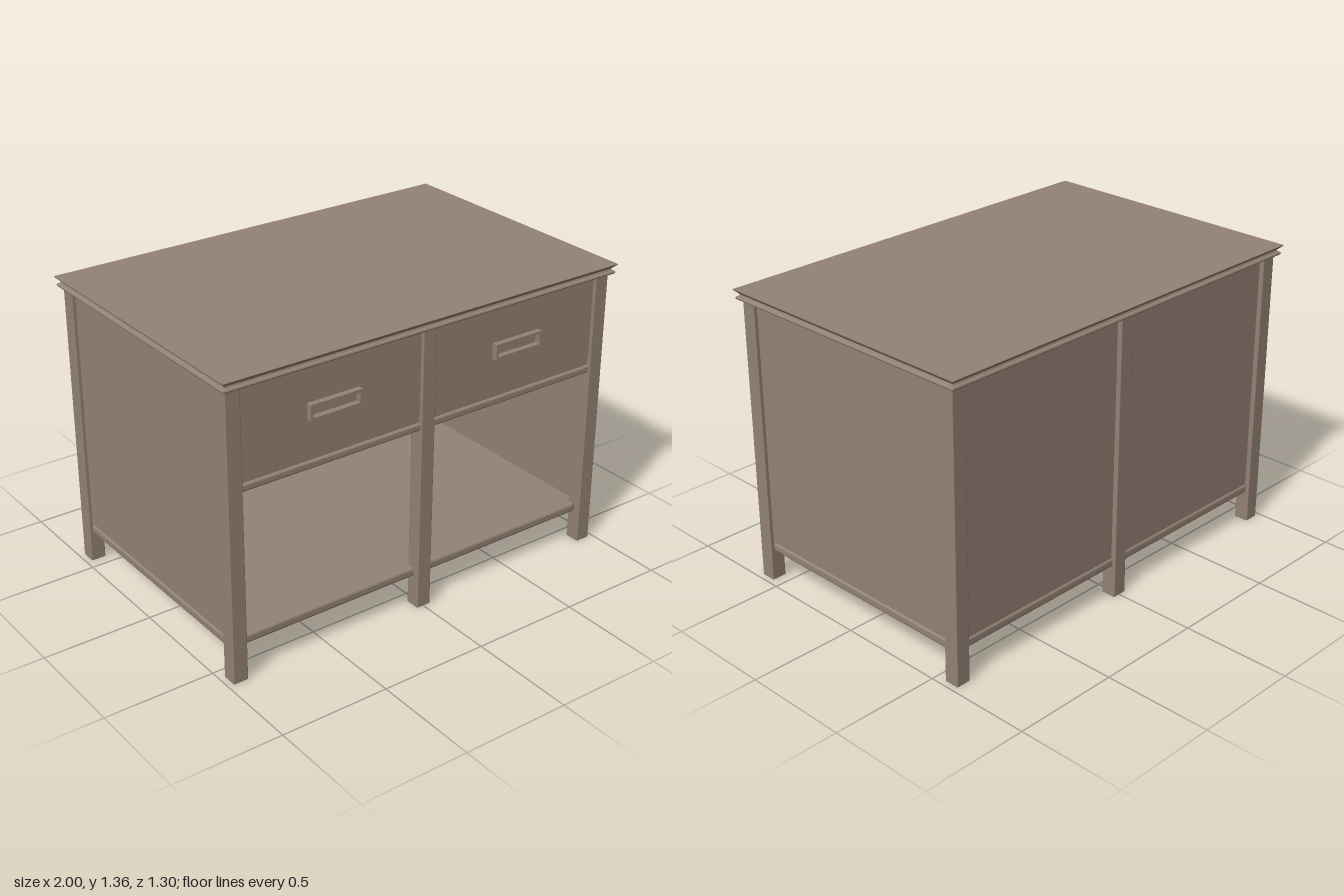
import * as THREE from 'three';
import { RoundedBoxGeometry } from 'three/addons/geometries/RoundedBoxGeometry.js';

const wood = new THREE.MeshStandardMaterial({ color: 0x948275 });
wood.name = 'taupe wood';

export function createModel() {
  const model = new THREE.Group();
  model.name = 'sideboard';

  const add = (name, geometry) => {
    const mesh = new THREE.Mesh(geometry, wood);
    mesh.name = name;
    model.add(mesh);
    return mesh;
  };

  // Box given by its limits on each axis, with optionally rounded edges
  const block = (name, [x0, x1], [y0, y1], [z0, z1], radius = 0) => {
    const size = [x1 - x0, y1 - y0, z1 - z0];
    const geometry = radius
      ? new RoundedBoxGeometry(...size, 3, radius)
      : new THREE.BoxGeometry(...size);
    add(name, geometry).position.set((x0 + x1) / 2, (y0 + y1) / 2, (z0 + z1) / 2);
  };

  // Moulded top: [inset from the outer edge, height], swept round a rectangle
  const profile = [
    [1, 1.308], [0.02, 1.308], [0.009, 1.311], [0.006, 1.317], [0.009, 1.323],
    [0.017, 1.326], [0.02, 1.333], [0.013, 1.34], [0.003, 1.349], [0, 1.355], [1, 1.355],
  ].map(([inset, y]) => new THREE.Vector2((1 - inset) * Math.SQRT2, y));
  const lathe = new THREE.LatheGeometry(profile, 4);
  lathe.rotateY(Math.PI / 4);
  const top = lathe.toNonIndexed();
  const p = top.attributes.position;
  for (let i = 0; i < p.count; i++) {
    const halfWidth = Math.abs(p.getX(i));
    p.setZ(i, Math.sign(p.getZ(i)) * Math.max(0, halfWidth - 0.35));
  }
  top.computeVertexNormals();
  add('top', top);

  // Six square legs with slightly eased edges
  for (const x of [-0.94, 0, 0.94])
    for (const z of [-0.585, 0.585])
      block('leg', [x - 0.035, x + 0.035], [0, 1.31], [z - 0.035, z + 0.035], 0.005);

  // Carcass
  block('bottomShelf', [-0.965, 0.965], [0.145, 0.19], [-0.55, 0.55], 0.014);
  block('bottomShelfEdges', [-0.91, 0.91], [0.145, 0.19], [-0.605, 0.59], 0.014);
  block('middleShelf', [-0.93, 0.93], [0.855, 0.89], [-0.58, 0.612], 0.01);
  block('backPanel', [-0.92, 0.92], [0.188, 1.31], [-0.598, -0.575]);
  for (const s of [-1, 1]) {
    const x = s * 0.9425;
    block('sidePanel', [x - 0.0155, x + 0.0155], [0.188, 1.31], [-0.58, 0.58]);
  }

  // Drawers with framed recessed pulls
  const rectangle = (target, w, h) => {
    target.moveTo(-w / 2, -h / 2);
    target.lineTo(w / 2, -h / 2);
    target.lineTo(w / 2, h / 2);
    target.lineTo(-w / 2, h / 2);
    target.closePath();
    return target;
  };
  const frame = rectangle(new THREE.Shape(), 0.25, 0.07);
  frame.holes.push(rectangle(new THREE.Path(), 0.226, 0.046));
  const pull = new THREE.ExtrudeGeometry(frame, { depth: 0.03, bevelEnabled: false });
  for (const s of [-1, 1]) {
    const c = s * 0.47;
    block('drawerRail', [c - 0.437, c + 0.437], [0.885, 0.922], [0.55, 0.6]);
    block('drawerFront', [c - 0.434, c + 0.434], [0.922, 1.31], [0.57, 0.606]);
    add('drawerPull', pull).position.set(c, 1.11, 0.602);
  }

  return model;
}
